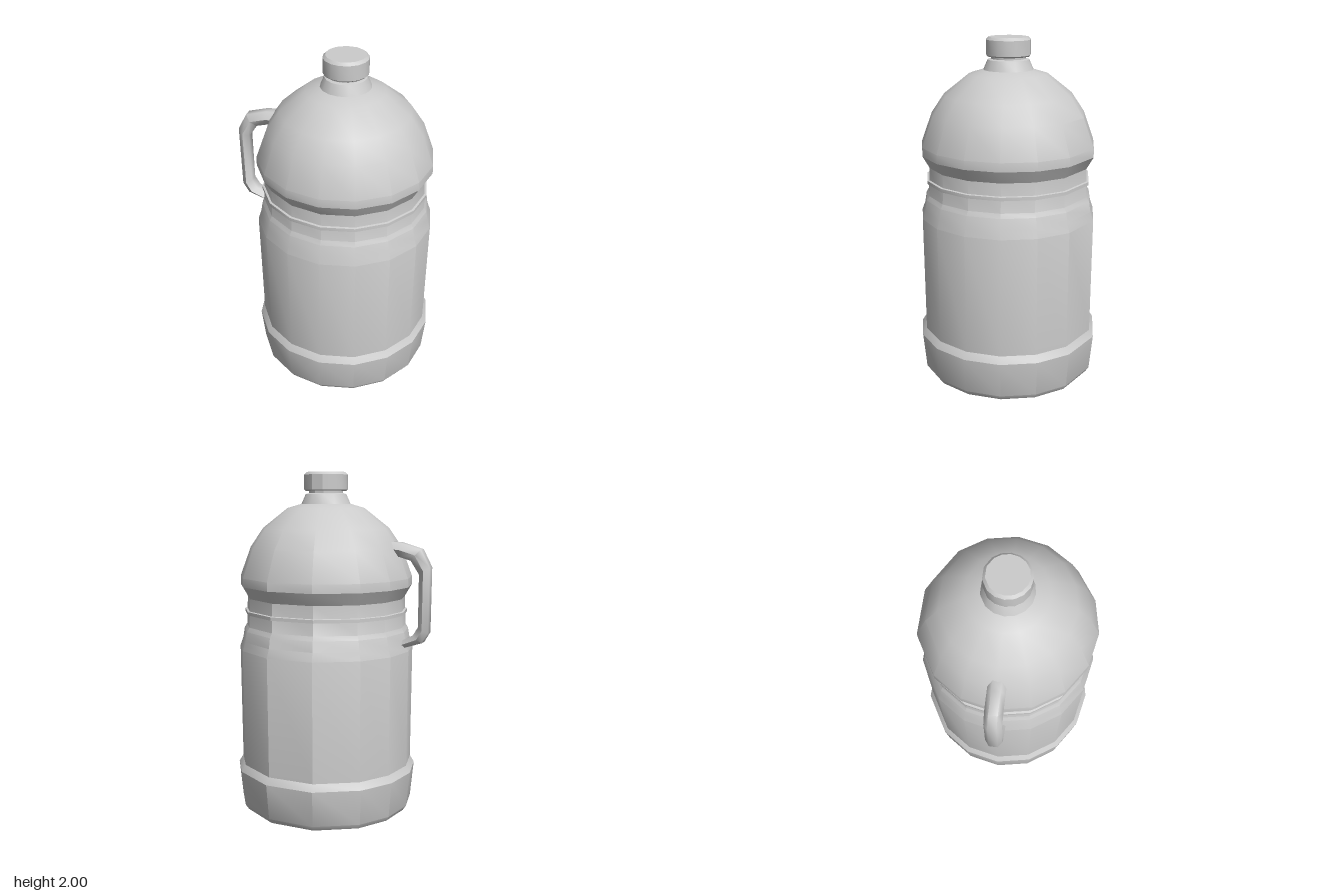
import * as THREE from 'three';
import { toCreasedNormals } from 'three/addons/utils/BufferGeometryUtils.js';

const CX = 0.05, CZ = -0.02, SIDES = 15;
const material = new THREE.MeshStandardMaterial({ color: 0xcccccc, side: THREE.DoubleSide });

// Turned part with 22.5 degree facets and one wider facet at the back.
function turned(name, profile) {
  const g = new THREE.LatheGeometry(profile.map(([r, y]) => new THREE.Vector2(r, y)), SIDES);
  const p = g.attributes.position;
  for (let i = 0; i < p.count; i++) {
    const [r, y] = profile[i % profile.length];
    const step = Math.floor(i / profile.length) % SIDES;
    const k = step <= 7 ? step : step - SIDES;
    const a = THREE.MathUtils.degToRad(Math.abs(k) === 7 ? Math.sign(k) * 164.6 : k * 22.5);
    p.setXYZ(i, r * Math.sin(a), y, r * Math.cos(a));
  }
  const mesh = new THREE.Mesh(toCreasedNormals(g, 0.5), material);
  mesh.name = name;
  mesh.position.set(CX, 0, CZ);
  return mesh;
}

// Six-sided loop of sections, each spanning an outer and an inner point.
function buildHandle() {
  const sections = [
    [-0.36, 1.608, -0.36, 1.53],
    [-0.42, 1.605, -0.41, 1.525],
    [-0.54, 1.57, -0.48, 1.505],
    [-0.592, 1.47, -0.53, 1.43],
    [-0.59, 1.10, -0.53, 1.13],
    [-0.555, 1.04, -0.50, 1.08],
    [-0.42, 0.995, -0.42, 1.04],
  ];
  const N = 6, pos = [], idx = [];
  for (const [ox, oy, ix, iy] of sections) {
    for (let k = 0; k < N; k++) {
      const a = (k / N) * Math.PI * 2;
      const t = 0.5 + Math.sin(a) / (2 * Math.sin(Math.PI / 3));
      pos.push(ix + (ox - ix) * t, iy + (oy - iy) * t, CZ + 0.05 * Math.cos(a));
    }
  }
  for (let s = 0; s < sections.length - 1; s++) {
    for (let k = 0; k < N; k++) {
      const a = s * N + k, b = s * N + (k + 1) % N;
      idx.push(a, b, a + N, b, b + N, a + N);
    }
  }
  // End caps
  const last = (sections.length - 1) * N;
  for (let k = 1; k < N - 1; k++) {
    idx.push(0, k + 1, k, last, last + k, last + k + 1);
  }
  const g = new THREE.BufferGeometry();
  g.setAttribute('position', new THREE.Float32BufferAttribute(pos, 3));
  g.setIndex(idx);
  const mesh = new THREE.Mesh(toCreasedNormals(g, 1.1), material);
  mesh.name = 'handle';
  return mesh;
}

export function createModel() {
  const group = new THREE.Group();
  group.name = 'jug';
  group.add(
    // Foot, straight wall, stepped waist and dome in one profile
    turned('body', [
      [0, 0.003], [0.22, 0.005], [0.5, 0.01], [0.52, 0.04], [0.54, 0.25],
      [0.515, 0.29], [0.518, 0.98], [0.5, 1.03], [0.49, 1.09], [0.475, 1.115],
      [0.468, 1.28], [0.508, 1.35], [0.508, 1.4], [0.445, 1.57],
      [0.37, 1.68], [0.225, 1.795], [0.14, 1.82],
    ]),
    turned('waistRing', [[0.47, 1.185], [0.483, 1.187], [0.483, 1.206], [0.47, 1.209]]),
    turned('neck', [[0.145, 1.815], [0.118, 1.875], [0.1, 1.88], [0.1, 1.92]]),
    turned('cap', [[0, 1.893], [0.12, 1.893], [0.127, 1.9], [0.127, 1.985], [0.112, 2], [0, 2]]),
    buildHandle(),
  );
  return group;
}
